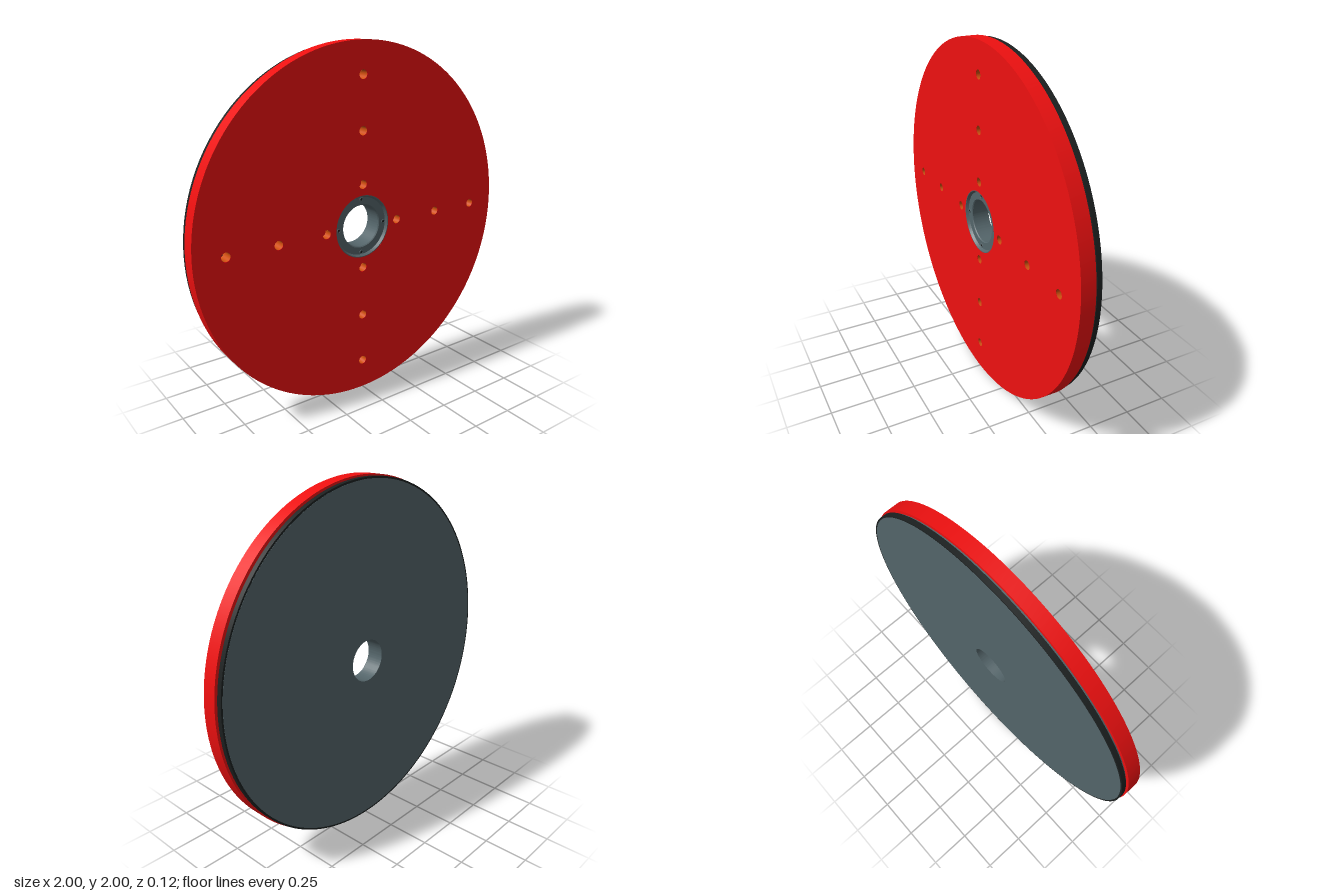
import * as THREE from 'three';
import { toCreasedNormals } from 'three/addons/utils/BufferGeometryUtils.js';

const paint = (color) => new THREE.MeshStandardMaterial({ color });
const red = paint(0xee1010);
const slate = paint(0x54656a);
const black = paint(0x1c2020);
const orange = paint(0xd05010);
orange.side = THREE.DoubleSide;

const FRONT = 0.06, MID = -0.02, BACK = -0.058;

function add(parent, name, geometry, material, x = 0, y = 0, z = 0) {
  const mesh = new THREE.Mesh(geometry, material);
  mesh.name = name;
  mesh.position.set(x, y, z);
  parent.add(mesh);
  return mesh;
}

// Closed [radius, z] profile turned about the z axis
function turned(profile) {
  const points = [...profile, profile[0]].map(([r, z]) => new THREE.Vector2(r, z));
  const geometry = new THREE.LatheGeometry(points, 128).rotateX(Math.PI / 2);
  return toCreasedNormals(geometry, 0.4);
}

function circle(PathType, x, y, r) {
  const path = new PathType();
  path.absarc(x, y, r, 0, Math.PI * 2, false);
  return path;
}

export function createModel() {
  const model = new THREE.Group();
  const wheel = new THREE.Group();
  wheel.name = 'disc';
  wheel.position.y = 1;
  model.add(wheel);

  // Bolt holes: three rings of four, the innermost ring shallow
  const holes = [];
  for (const r of [0.24, 0.533, 0.826]) {
    for (let i = 0; i < 4; i++) {
      const a = i * Math.PI / 2;
      holes.push({ x: r * Math.cos(a), y: r * Math.sin(a), shallow: r < 0.3 });
    }
  }

  // Red front plate with the hub opening and bolt holes
  const plate = circle(THREE.Shape, 0, 0, 1);
  plate.holes.push(circle(THREE.Path, 0, 0, 0.178));
  for (const h of holes) plate.holes.push(circle(THREE.Path, h.x, h.y, 0.025));
  const plateGeometry = new THREE.ExtrudeGeometry(plate, {
    depth: FRONT - MID, bevelEnabled: false, curveSegments: 96,
  });
  add(wheel, 'frontPlate', toCreasedNormals(plateGeometry, 0.4), red, 0, 0, MID);

  // Hole linings and floors
  for (const h of holes) {
    const floor = h.shallow ? 0.01 : MID + 0.002;
    const depth = FRONT - floor - 0.001;
    const lining = new THREE.CylinderGeometry(0.0245, 0.0245, depth, 24, 1, true).rotateX(Math.PI / 2);
    add(wheel, 'holeLining', lining, orange, h.x, h.y, floor + depth / 2);
    add(wheel, 'holeFloor', new THREE.CircleGeometry(0.025, 24), h.shallow ? red : black, h.x, h.y, floor);
  }

  // Slate backing plate, set in slightly to leave a groove behind the front plate
  add(wheel, 'backPlate', turned([
    [0.12, BACK], [0.982, BACK], [0.982, MID], [0.12, MID],
  ]), slate);

  // Black band around the backing plate
  add(wheel, 'rimBand', turned([
    [0.975, BACK + 0.001], [0.992, BACK + 0.001], [0.992, -0.03], [0.975, -0.03],
  ]), black);

  // Hub ring with a sloped lip and a bored centre
  add(wheel, 'hub', turned([
    [0.12, MID], [0.178, MID], [0.178, FRONT], [0.174, FRONT],
    [0.165, 0.045], [0.125, 0.045], [0.12, 0.04],
  ]), slate);

  // Four small screws in the hub face
  for (let i = 0; i < 4; i++) {
    const a = i * Math.PI / 2;
    const x = 0.153 * Math.cos(a), y = 0.153 * Math.sin(a);
    add(wheel, 'hubScrewRim', new THREE.TorusGeometry(0.01, 0.003, 8, 20), slate, x, y, 0.045);
    add(wheel, 'hubScrew', new THREE.CircleGeometry(0.01, 20), black, x, y, 0.046);
  }

  return model;
}
